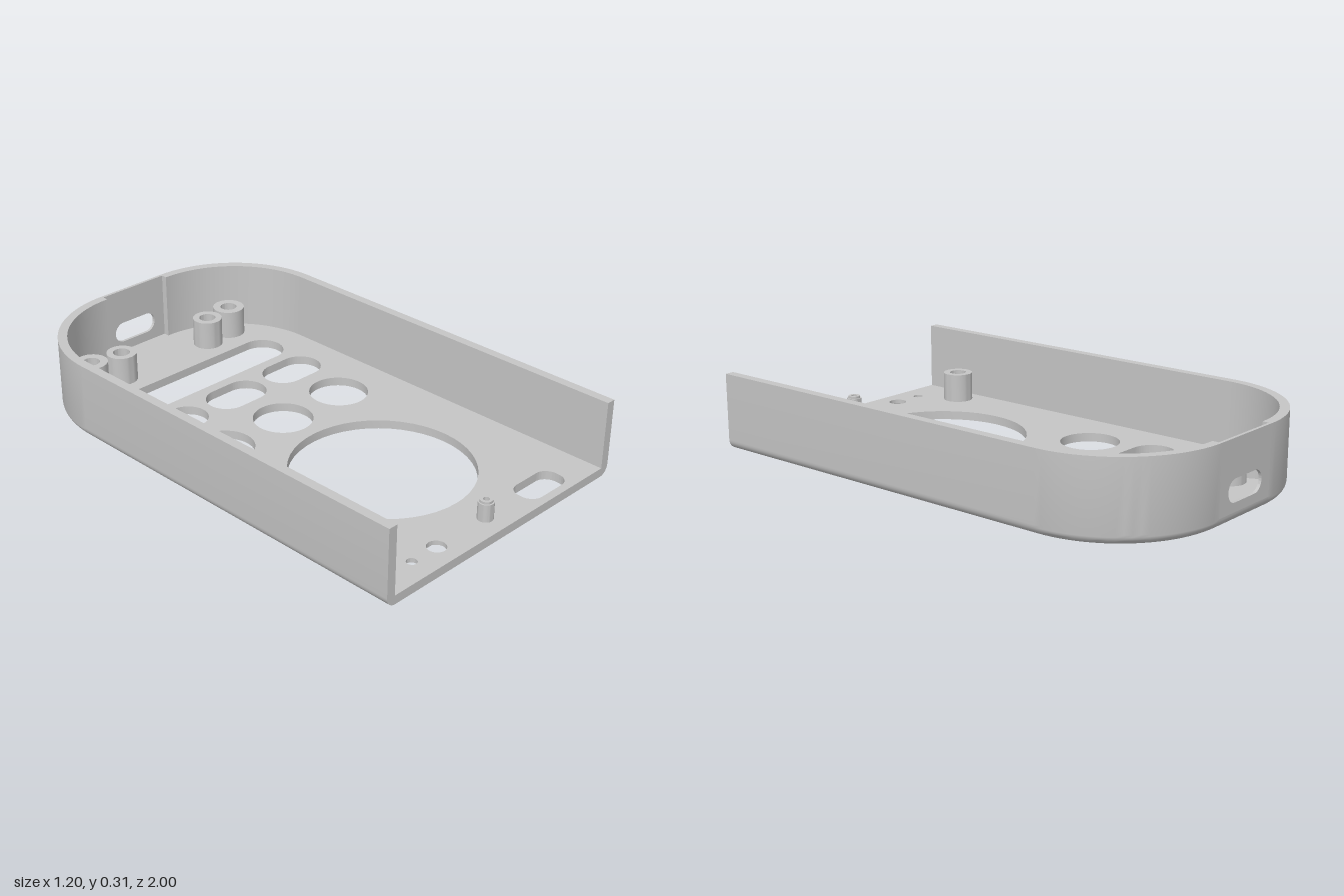
import * as THREE from 'three';
import { toCreasedNormals } from 'three/addons/utils/BufferGeometryUtils.js';

const HALF = 0.6, CORNER = 0.44, HEIGHT = 0.307;
const FLOOR = 0.035, WALL = 0.037, FILLET = 0.04;
const RECESS = 0.157, PANEL = 0.012, CREASE = 0.5;

const grey = new THREE.MeshStandardMaterial({ color: 0xc5c5c5 });
grey.name = 'light grey plastic';

function part(name, geometry) {
  const mesh = new THREE.Mesh(toCreasedNormals(geometry, CREASE), grey);
  mesh.name = name;
  return mesh;
}

// Rounded slot outline centred on (x, y)
function slot(x, y, hw, hh, r = Math.min(hw, hh), T = THREE.Path) {
  const p = new T();
  const h = Math.PI / 2;
  p.moveTo(x + hw, y - hh + r);
  [[1, 1], [-1, 1], [-1, -1], [1, -1]].forEach(([sx, sy], i) =>
    p.absarc(x + sx * (hw - r), y + sy * (hh - r), r, i * h, (i + 1) * h, false));
  p.closePath();
  return p;
}

function circle(x, y, r) {
  return new THREE.Path().absarc(x, y, r, 0, Math.PI * 2, false);
}

function extrude(shape, depth) {
  return new THREE.ExtrudeGeometry(shape, { depth, bevelEnabled: false, curveSegments: 24 });
}

// Horizontal plate whose shape is drawn in (x, -z)
function plate(shape, y0, y1) {
  return extrude(shape, y1 - y0).rotateX(-Math.PI / 2).translate(0, y0, 0);
}

// Sweep a closed [inset, y] profile along [x, z, nx, nz] stations, with end caps
function sweep(stations, profile) {
  const pos = [];
  const at = (s, [d, y]) => [s[0] - s[2] * d, y, s[1] - s[3] * d];
  const tri = (a, b, c) => pos.push(...a, ...b, ...c);
  for (let i = 0; i < stations.length - 1; i++) {
    profile.forEach((p, j) => {
      const q = profile[(j + 1) % profile.length];
      const a = at(stations[i], p), b = at(stations[i + 1], p);
      const c = at(stations[i + 1], q), d = at(stations[i], q);
      tri(a, b, c);
      tri(a, c, d);
    });
  }
  const flat = profile.map(([d, y]) => new THREE.Vector2(-d, y));
  const first = stations[0], last = stations[stations.length - 1];
  for (const [i, j, k] of THREE.ShapeUtils.triangulateShape(flat, [])) {
    tri(at(first, profile[i]), at(first, profile[j]), at(first, profile[k]));
    tri(at(last, profile[k]), at(last, profile[j]), at(last, profile[i]));
  }
  const g = new THREE.BufferGeometry();
  g.setAttribute('position', new THREE.Float32BufferAttribute(pos, 3));
  return g;
}

// Hollow post turned from outer radius steps [r, top] and a bore
function post(name, x, z, steps, bore) {
  const pts = [new THREE.Vector2(bore, FLOOR)];
  let y = FLOOR;
  for (const [r, top] of steps) {
    pts.push(new THREE.Vector2(r, y), new THREE.Vector2(r, top));
    y = top;
  }
  pts.push(new THREE.Vector2(bore, y), new THREE.Vector2(bore, FLOOR));
  const mesh = part(name, new THREE.LatheGeometry(pts, 40));
  mesh.position.set(x, 0, z);
  return mesh;
}

export function createModel() {
  const model = new THREE.Group();
  model.name = 'caseShell';

  // Floor with all its openings
  const x = HALF - FILLET, c = HALF - CORNER, r = CORNER - FILLET;
  const floor = new THREE.Shape();
  floor.moveTo(-x, -1);
  floor.lineTo(x, -1);
  floor.absarc(c, 1 - CORNER, r, 0, Math.PI / 2, false);
  floor.absarc(-c, 1 - CORNER, r, Math.PI / 2, Math.PI, false);
  floor.closePath();
  const pocket = [-0.315, -0.91, 0.135, 0.05, 0.04];
  floor.holes.push(
    slot(0, 0.582, 0.44, 0.09),
    circle(0, -0.429, 0.351),
    slot(0.309, -0.91, 0.108, 0.057, 0.05),
    circle(0, -0.913, 0.018),
    slot(...pocket));
  for (const cx of [-0.31, 0, 0.31]) {
    floor.holes.push(slot(cx, 0.362, 0.134, 0.085), circle(cx, 0.094, 0.118));
  }
  model.add(part('floor', plate(floor, 0, FLOOR)));

  // Thin web closing the underside pocket, with two small holes
  const web = slot(...pocket, THREE.Shape);
  web.holes.push(circle(-0.38, -0.91, 0.02), circle(-0.254, -0.91, 0.036));
  model.add(part('pocketWeb', plate(web, 0.018, FLOOR)));

  // Rounded lower edge shared by the walls and the rear lip
  const edge = [];
  for (let i = 0; i <= 8; i++) {
    const a = (i / 8) * Math.PI / 2;
    edge.push([FILLET * (1 - Math.sin(a)), FILLET * (1 - Math.cos(a))]);
  }

  // Side walls wrapping round to the rear recess
  const right = [[HALF, 1, 1, 0]];
  for (let i = 0; i <= 24; i++) {
    const a = (i / 24) * Math.PI / 2, cs = Math.cos(a), sn = Math.sin(a);
    right.push([c + CORNER * cs, CORNER - 1 - CORNER * sn, cs, -sn]);
  }
  right.push([RECESS, -1, 0, -1]);
  const left = right.map(([px, pz, nx, nz]) => [-px, pz, -nx, nz]).reverse();
  const wall = [...edge, [0, HEIGHT], [WALL, HEIGHT], [WALL, FLOOR], [FILLET, FLOOR]];
  model.add(part('rightWall', sweep(left, wall)), part('leftWall', sweep(right, wall)));

  // Rear lip and thin recessed panel with the cable slot
  const lip = [...edge, [PANEL, FILLET], [PANEL, FLOOR], [FILLET, FLOOR]];
  model.add(part('rearLip', sweep([[RECESS, -1, 0, -1], [-RECESS, -1, 0, -1]], lip)));
  const panel = new THREE.Shape([
    [-RECESS, FILLET], [RECESS, FILLET], [RECESS, HEIGHT], [-RECESS, HEIGHT],
  ].map((p) => new THREE.Vector2(...p)));
  panel.holes.push(slot(0, 0.118, 0.105, 0.043));
  model.add(part('rearPanel', extrude(panel, PANEL).translate(0, 0, -1)));

  // Screw bosses and stepped locating pin
  for (const s of [-1, 1]) {
    model.add(post('outerBoss', s * 0.37, -0.81, [[0.066, 0.153]], 0.034));
    model.add(post('innerBoss', s * 0.232, -0.791, [[0.061, 0.153]], 0.034));
  }
  model.add(post('frontBoss', -0.465, 0.75, [[0.061, 0.153]], 0.034));
  model.add(post('locatingPin', 0, 0.913, [[0.03, 0.105], [0.024, 0.114]], 0.012));

  return model;
}
